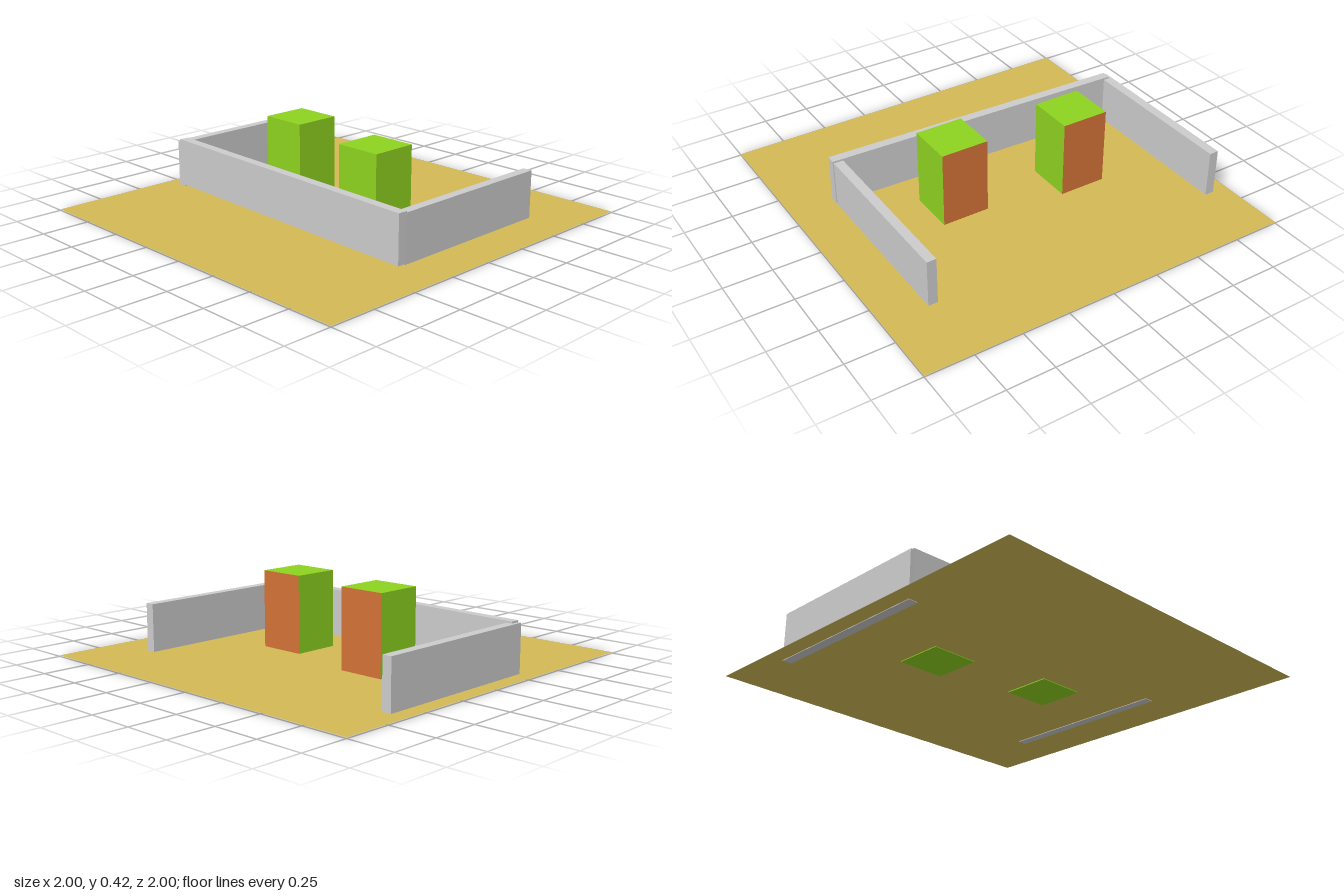
import * as THREE from 'three';

const material = (color, side = THREE.FrontSide) =>
  new THREE.MeshStandardMaterial({ color, side, flatShading: true });

// Box given by its size and the centre of its underside
function addBox(group, name, [w, h, d], [x, y, z], mat, turn = 0) {
  const mesh = new THREE.Mesh(new THREE.BoxGeometry(w, h, d), mat);
  mesh.name = name;
  mesh.position.set(x, y + h / 2, z);
  mesh.rotation.y = turn;
  group.add(mesh);
}

export function createModel() {
  const model = new THREE.Group();
  model.name = 'walledYard';
  const grey = material(0xcccccc);
  const green = material(0x8ed320);
  const orange = material(0xd37337);

  // Thin ground sheet, just above the undersides of the blocks
  const ground = new THREE.Mesh(
    new THREE.PlaneGeometry(2, 2).rotateX(-Math.PI / 2),
    material(0xd3ba55, THREE.DoubleSide));
  ground.name = 'ground';
  ground.position.y = 0.005;
  model.add(ground);

  // Three-sided wall, its long side slightly skewed and raised
  addBox(model, 'frontWall', [0.93, 0.253, 0.05], [0.157, 0.002, 0.738], grey);
  addBox(model, 'backWall', [0.935, 0.253, 0.05], [0.168, 0.002, -0.889], grey);
  addBox(model, 'longWall', [0.05, 0.252, 1.665], [-0.302, 0.013, -0.064], grey,
    Math.atan2(-0.055, 1.66));

  // Green blocks with one orange face towards the open side (+x)
  const blockFaces = [orange, green, green, green, green, green];
  addBox(model, 'frontBlock', [0.25, 0.41, 0.254], [0.012, 0, 0.268], blockFaces);
  addBox(model, 'backBlock', [0.25, 0.415, 0.254], [0.11, 0.001, -0.375], blockFaces);

  return model;
}
